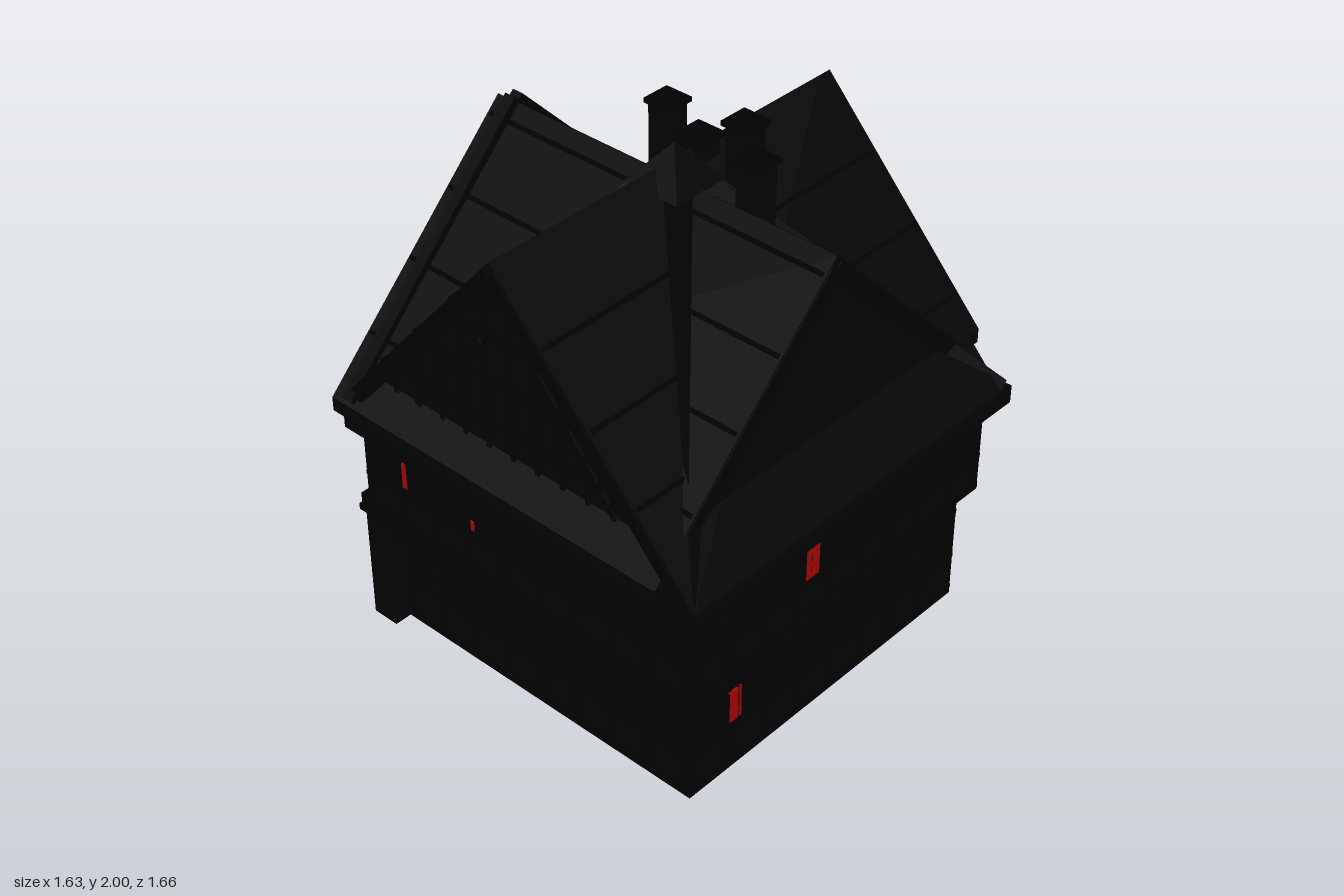
import * as THREE from 'three';

const mat = (name, color) => Object.assign(new THREE.MeshStandardMaterial({ color }), { name });

export function createModel() {
  const model = new THREE.Group();
  model.name = 'timberHouse';
  const wall = mat('wallBlack', 0x020202);
  const timber = mat('timberBlack', 0x010101);
  const roof = mat('roofBlack', 0x020202);
  const red = mat('shutterRed', 0xa80606);

  // Box given by its min and max corners
  function box(parent, name, m, x0, x1, y0, y1, z0, z1) {
    const mesh = new THREE.Mesh(new THREE.BoxGeometry(x1 - x0, y1 - y0, z1 - z0), m);
    mesh.position.set((x0 + x1) / 2, (y0 + y1) / 2, (z0 + z1) / 2);
    mesh.name = name;
    parent.add(mesh);
  }

  // Square bar between two points, rolled about its own axis
  function bar(parent, name, m, a, b, w, h, roll = 0) {
    const mesh = new THREE.Mesh(new THREE.BoxGeometry(w, h, a.distanceTo(b)), m);
    mesh.position.copy(a).add(b).multiplyScalar(0.5);
    mesh.lookAt(b);
    mesh.rotateZ(roll);
    mesh.name = name;
    parent.add(mesh);
  }
  const V = (x, y, z) => new THREE.Vector3(x, y, z);

  // Ground floor: four walls around an open underside
  for (const x of [-0.76, 0.635]) box(model, 'groundSideWall', wall, x, x + 0.025, 0, 0.53, -0.75, 0.66);
  for (const z of [-0.75, 0.635]) box(model, 'groundWall', wall, -0.76, 0.66, 0, 0.53, z, z + 0.025);
  box(model, 'cornerPillar', wall, -0.81, -0.7, 0, 0.5, 0.61, 0.73);
  box(model, 'pillarCap', wall, -0.81, -0.68, 0.5, 0.555, 0.59, 0.745);

  // Upper floor and mouldings
  box(model, 'upperFloor', wall, -0.76, 0.74, 0.53, 0.93, -0.745, 0.75);
  box(model, 'frontLedge', timber, -0.82, 0.0, 0.48, 0.505, 0.66, 0.75);
  box(model, 'sideLedge', timber, -0.82, -0.76, 0.48, 0.505, 0.1, 0.75);
  box(model, 'jettyBeam', timber, -0.76, 0.68, 0.5, 0.53, 0.66, 0.75);
  box(model, 'hangingBoard', timber, 0.7, 0.715, 0.43, 0.54, 0.6, 0.7);
  box(model, 'cornice', timber, -0.775, 0.8, 0.9, 0.97, -0.815, 0.815);

  // Half-timbered face: local x along the wall, y up, z outward from the wall
  function facade(name, x, z, angle, width, y0, y1, bays, sill, head) {
    const g = new THREE.Group();
    g.name = name;
    g.position.set(x, 0, z);
    g.rotation.y = angle;
    model.add(g);
    const step = width / bays;
    for (let i = 0; i <= bays; i++) {
      const c = -width / 2 + 0.015 + (i * (width - 0.03)) / bays;
      box(g, 'stud', timber, c - 0.011, c + 0.011, y0, y1, -0.005, 0.004);
    }
    for (const y of [y0 + 0.012, sill - 0.02, head + 0.02, y1 - 0.012])
      box(g, 'rail', timber, -width / 2, width / 2, y - 0.01, y + 0.01, -0.005, 0.003);
    for (let i = 0; i < bays; i++) {
      const c = -width / 2 + (i + 0.5) * step, hw = 0.036;
      for (const s of [-1, 0, 1])
        box(g, 'windowPost', timber, c + s * hw - 0.005, c + s * hw + 0.005, sill, head, -0.005, 0.006);
      for (const y of [sill, (sill + head) / 2, head])
        box(g, 'windowBar', timber, c - hw, c + hw, y - 0.005, y + 0.005, -0.005, 0.005);
    }
  }
  const H = Math.PI / 2;
  facade('frontUpperFace', -0.01, 0.75, 0, 1.5, 0.54, 0.9, 9, 0.7, 0.84);
  facade('backUpperFace', -0.01, -0.745, Math.PI, 1.5, 0.54, 0.9, 9, 0.7, 0.84);
  facade('leftUpperFace', 0.74, 0, H, 1.49, 0.54, 0.9, 9, 0.7, 0.84);
  facade('rightUpperFace', -0.76, 0, -H, 1.49, 0.54, 0.9, 9, 0.7, 0.84);
  facade('frontLowerFace', -0.02, 0.66, 0, 1.34, 0.02, 0.46, 8, 0.2, 0.36);
  facade('backLowerFace', -0.05, -0.75, Math.PI, 1.42, 0.02, 0.5, 8, 0.2, 0.36);
  facade('leftLowerFace', 0.66, -0.045, H, 1.4, 0.02, 0.5, 8, 0.2, 0.36);
  facade('rightLowerFace', -0.76, -0.07, -H, 1.34, 0.02, 0.48, 8, 0.2, 0.36);

  // Brackets under the front jetty
  for (let i = 0; i < 20; i++) {
    const x = -0.66 + i * 0.068;
    box(model, 'jettyBracket', timber, x - 0.01, x + 0.01, 0.43, 0.5, 0.66, 0.735);
  }

  // Red shutters, with narrow jambs beside the side windows
  box(model, 'upperShutter', red, 0.741, 0.748, 0.705, 0.858, 0.133, 0.169);
  box(model, 'upperShutter', red, 0.741, 0.748, 0.705, 0.858, 0.173, 0.208);
  box(model, 'upperJamb', timber, 0.735, 0.756, 0.7, 0.865, 0.209, 0.217);
  box(model, 'lowerShutter', red, 0.661, 0.668, 0.215, 0.35, 0.43, 0.482);
  box(model, 'lowerShutterEdge', red, 0.661, 0.668, 0.215, 0.35, 0.415, 0.421);
  box(model, 'lowerJamb', timber, 0.655, 0.676, 0.21, 0.355, 0.483, 0.491);
  for (const x of [-0.567, -0.553])
    box(model, 'frontShutterStrip', red, x, x + 0.007, 0.715, 0.82, 0.751, 0.758);
  box(model, 'frontShutter', red, -0.237, -0.208, 0.712, 0.752, 0.751, 0.755);
  box(model, 'frontShutterTip', red, -0.218, -0.21, 0.825, 0.845, 0.751, 0.755);
  box(model, 'backShutter', red, 0.06, 0.08, 0.785, 0.84, -0.753, -0.746);
  box(model, 'backJamb', timber, 0.081, 0.09, 0.78, 0.845, -0.765, -0.74);

  // Gabled roof along local z, ridge at local x = 0, eaves at -lh and rh.
  // ends lists [roof end, wall plane, wall style, furthest +x reach of the rake]
  function gabledRoof(name, ridge, lh, rh, eave, ends, seams, angle, x) {
    const g = new THREE.Group();
    g.name = name;
    g.rotation.y = angle;
    g.position.x = x;
    model.add(g);
    const t = 0.055;
    const half = d => (d < 0 ? lh : rh);
    const xAt = (y, d) => d * half(d) * (ridge - y) / (ridge - eave);
    const yAt = px => ridge - (ridge - eave) * Math.abs(px) / half(px);
    function prism(part, m, points, z0, z1) {
      const s = new THREE.Shape(points.map(p => new THREE.Vector2(...p)));
      const mesh = new THREE.Mesh(new THREE.ExtrudeGeometry(s, { depth: z1 - z0, bevelEnabled: false }), m);
      mesh.position.z = z0;
      mesh.name = part;
      g.add(mesh);
    }
    const slopes = (r, z0, z1) => prism('roofSlopes', roof, [[-lh, eave], [-lh, eave - t], [0, ridge - t],
      [r, yAt(r) - t], [r, yAt(r)], [0, ridge]], z0, z1);
    const [[z0, wall0, , reach0], [z1, wall1]] = ends;
    const split = reach0 < rh ? z0 + 0.055 : z0;
    slopes(rh, split, z1);
    if (split > z0) slopes(reach0, z0, split);
    // Gable walls close the attic
    const top = ridge - 0.02;
    prism('gableWalls', wall, [[xAt(eave + 0.02, -1), eave], [xAt(eave + 0.02, 1), eave], [0, top]], wall0, wall1);
    // Raised tile courses
    for (const y of seams) for (const d of [-1, 1]) {
      const c = xAt(y, d);
      box(g, 'tileCourse', roof, c - 0.006, c + 0.006, y - 0.006, y + 0.006, z0 + 0.01, z1 - 0.01);
    }
    for (const [z, zw, style, reach] of ends) {
      // Bargeboards
      const zb = z - Math.sign(z) * 0.008;
      for (const d of [-1, 1]) {
        const e = d < 0 ? -lh + 0.04 : reach - 0.04;
        bar(g, 'bargeboard', timber, V(0, ridge - 0.05, zb), V(e, yAt(e) - 0.05, zb), 0.02, 0.055);
      }
      if (style === 'plain') continue;
      // Gable studs
      for (let i = -5; i <= 5; i++)
        box(g, 'gableStud', timber, i * 0.11 - 0.01, i * 0.11 + 0.01, 0.98, yAt(i * 0.11) - 0.05, zw - 0.008, zw + 0.008);
      if (style === 'boarded') continue;
      // Gable rails and braces
      for (const y of [1.05, 1.2, 1.37, 1.54, 1.68])
        box(g, 'gableRail', timber, xAt(y, -1) + 0.05, xAt(y, 1) - 0.05, y - 0.012, y + 0.012, zw - 0.01, zw + 0.01);
      for (const d of [-1, 1])
        bar(g, 'gableBrace', timber, V(d * 0.12, 1.5, zw), V(d * 0.45, 1.1, zw), 0.02, 0.025);
    }
  }
  gabledRoof('frontBackRoof', 1.885, 0.78, 0.84, 0.985,
    [[-0.8, -0.73, 'timbered', 0.69], [0.8, 0.73, 'timbered', 0.84]], [1.66, 1.45, 1.25], 0, -0.035);
  gabledRoof('sideRoof', 1.83, 0.825, 0.825, 1.01,
    [[-0.815, -0.79, 'boarded', 0.825], [0.66, 0.642, 'plain', 0.825]], [1.78, 1.58, 1.39, 1.19], H, 0);

  // Raised rib along one gable end
  for (const d of [-1, 1])
    bar(model, 'roofRib', timber, V(-0.738, 1.843, 0), V(-0.738, 1.02, d * 0.81), 0.045, 0.05);

  // Valley ridges meeting in a pointed peak
  for (const sx of [-1, 1]) for (const sz of [-1, 1])
    bar(model, 'valleyRidge', roof, V(-0.012, 1.872, 0), V(sx * 0.765, 0.955, sz * 0.765), 0.085, 0.085, Math.PI / 4);
  const peak = new THREE.Mesh(new THREE.ConeGeometry(0.165, 0.14, 4, 1, true).toNonIndexed(), roof);
  peak.geometry.computeVertexNormals();
  peak.rotation.y = Math.PI / 4;
  peak.position.set(-0.012, 1.892, 0);
  peak.name = 'roofPeak';
  model.add(peak);

  // Chimneys: centre x, z, top, base
  for (const [x, z, top, base] of [[0.108, -0.205, 2, 1.6], [0.205, -0.148, 1.925, 1.6],
    [-0.037, -0.148, 1.925, 1.7], [-0.335, -0.32, 1.865, 1.4]]) {
    box(model, 'chimneyStack', wall, x - 0.046, x + 0.046, base, top - 0.015, z - 0.046, z + 0.046);
    box(model, 'chimneyCap', timber, x - 0.057, x + 0.057, top - 0.018, top, z - 0.057, z + 0.057);
  }

  return model;
}
